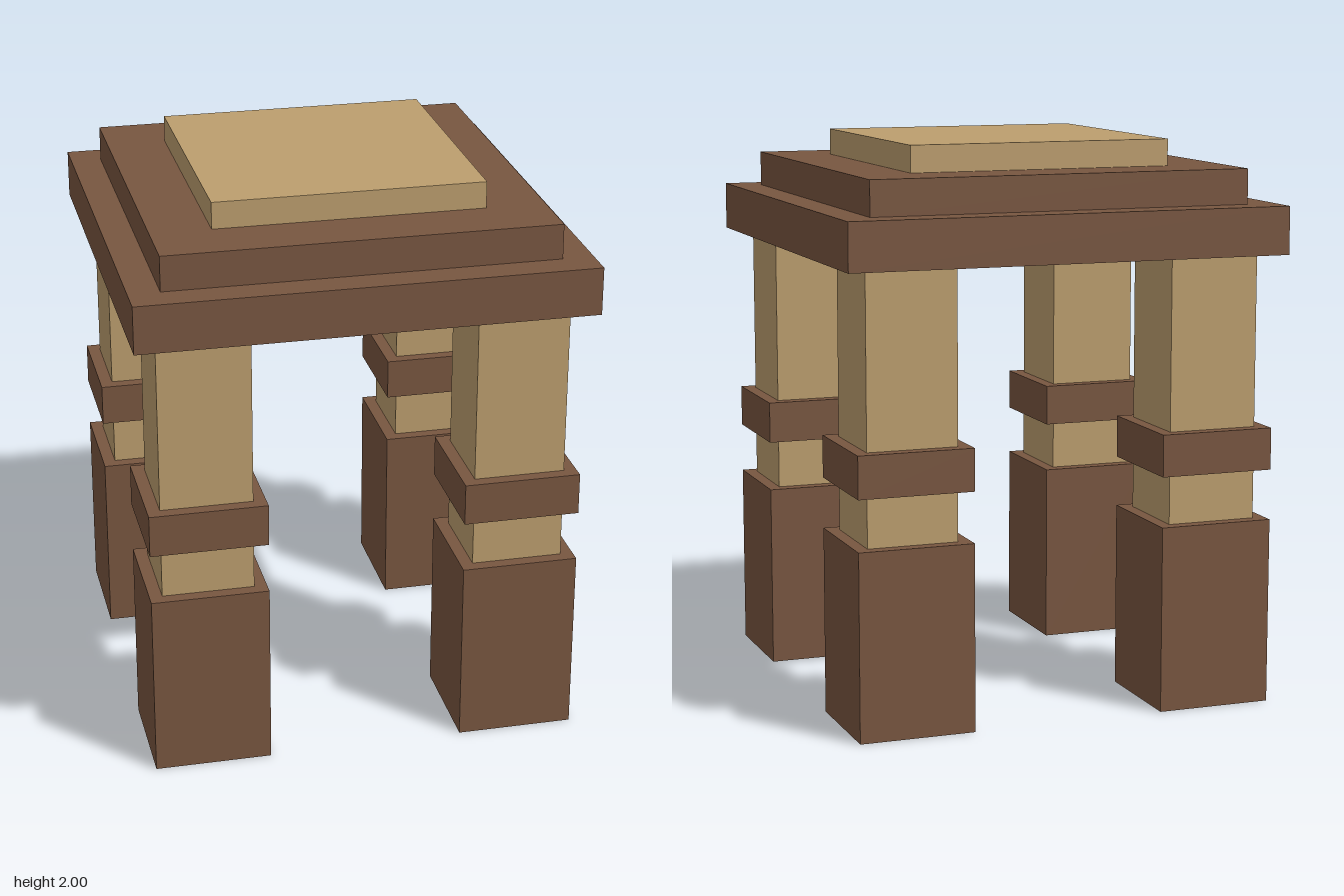
import * as THREE from 'three';

// A square pavilion: four banded pillars carrying a stepped roof.
export function createModel() {
  const model = new THREE.Group();
  model.name = 'pavilion';

  const tan = new THREE.MeshStandardMaterial({ color: 0xbc9e6e });
  tan.name = 'tan';
  // double-sided because the plinths are hollow and open underneath
  const brown = new THREE.MeshStandardMaterial({ color: 0x785640, side: THREE.DoubleSide });
  brown.name = 'brown';

  // Square block of the given width between two heights
  function block(parent, name, width, y0, y1, material) {
    const geometry = new THREE.BoxGeometry(width, y1 - y0, width);
    const mesh = new THREE.Mesh(geometry, material);
    mesh.name = name;
    mesh.position.y = (y0 + y1) / 2;
    parent.add(mesh);
    return mesh;
  }

  // Drop the downward face of a box (the fourth of its six faces)
  function openBottom(geometry) {
    const index = Array.from(geometry.index.array);
    index.splice(18, 6);
    geometry.setIndex(index);
    geometry.clearGroups();
  }

  // Pillars at the four corners
  const offset = 0.555;
  for (const [sideName, sx] of [['left', 1], ['right', -1]]) {
    for (const [endName, sz] of [['front', 1], ['back', -1]]) {
      const pillar = new THREE.Group();
      pillar.name = `${endName} ${sideName} pillar`;
      pillar.position.set(sx * offset, 0, sz * offset);
      const plinth = block(pillar, 'plinth', 0.414, 0, 0.665, brown);
      openBottom(plinth.geometry);
      block(pillar, 'shaft', 0.324, 0.665, 1.61, tan);
      block(pillar, 'band', 0.414, 0.845, 0.995, brown);
      model.add(pillar);
    }
  }

  // Stepped roof
  const roof = new THREE.Group();
  roof.name = 'roof';
  block(roof, 'lower roof slab', 1.6, 1.61, 1.78, brown);
  block(roof, 'middle roof slab', 1.38, 1.78, 1.905, brown);
  block(roof, 'roof cap', 0.956, 1.905, 2, tan);
  model.add(roof);

  return model;
}
